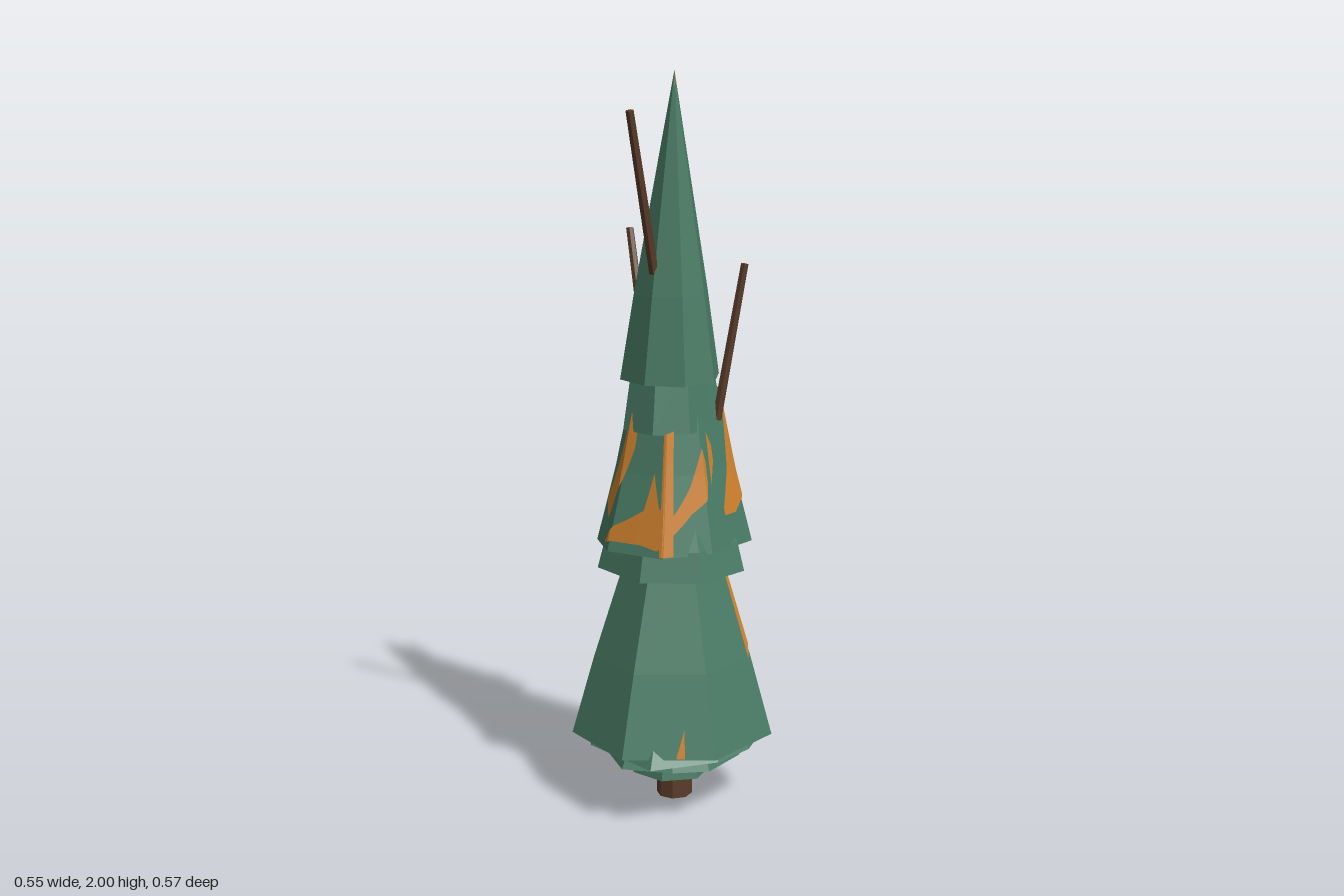
import * as THREE from 'three';

const RAD = Math.PI / 180;

// Outlines: corners as [angle in degrees, radius]; 0 is +x, 90 is the front
const OUT = {
  top: [[25, 0.125], [72, 0.143], [117, 0.142], [165, 0.147], [220, 0.157], [266, 0.135], [320, 0.145]],
  collar: [[15, 0.115], [60, 0.12], [105, 0.14], [150, 0.143], [200, 0.125], [250, 0.118], [305, 0.125]],
  middle: [[48, 0.175], [92, 0.2], [140, 0.215], [175, 0.212], [222, 0.19], [268, 0.185], [310, 0.19], [355, 0.212]],
  waist: [[12, 0.2], [62, 0.2], [110, 0.205], [165, 0.212], [210, 0.2], [258, 0.19], [310, 0.205]],
  skirt: [[7, 0.277], [60, 0.278], [112, 0.291], [163, 0.288], [212.5, 0.279], [262, 0.292], [298, 0.282]],
  hem: [[25, 0.24], [55, 0.25], [96, 0.287], [130, 0.235], [150, 0.25], [197, 0.267], [247, 0.293], [300, 0.25], [350, 0.248]],
  under: [[10, 0.19], [55, 0.2], [85, 0.19], [125, 0.215], [170, 0.195], [215, 0.2], [255, 0.215], [310, 0.2]],
  core: [[0, 0.1], [50, 0.115], [100, 0.12], [150, 0.125], [205, 0.125], [255, 0.12], [310, 0.115]],
};

// Profiles: [height, scale of the outline], from the rim upward
const PROF = {
  top: [[1.19, 1], [1.42, 0.74], [2, 0]],
  collar: [[1.06, 1], [1.25, 0.8]],
  middle: [[0.74, 1], [0.95, 0.75], [1.25, 0.46]],
  waist: [[0.67, 1], [0.75, 0.9], [0.95, 0.5]],
  skirt: [[0.2, 1], [0.42, 0.78], [0.76, 0.4]],
  hem: [[0.18, 1], [0.26, 0.8]],
  under: [[0.135, 1], [0.2, 0.85]],
  core: [[0.08, 1], [0.15, 0.9]],
};

function geometryFrom(points) {
  const geo = new THREE.BufferGeometry().setFromPoints(points);
  geo.computeVertexNormals();
  return geo;
}

// Faceted tier with a closed underside
function tierGeometry(key) {
  const outline = OUT[key], profile = PROF[key], n = outline.length, pts = [];
  const at = (i, [y, s]) => {
    const [deg, r] = outline[i % n];
    return new THREE.Vector3(r * s * Math.cos(deg * RAD), y, r * s * Math.sin(deg * RAD));
  };
  for (let i = 0; i < n; i++) {
    for (let k = 0; k < profile.length - 1; k++) {
      const lo = profile[k], hi = profile[k + 1];
      pts.push(at(i + 1, lo), at(i, lo), at(i, hi));
      if (hi[1] > 0) pts.push(at(i + 1, lo), at(i, hi), at(i + 1, hi));
    }
    pts.push(new THREE.Vector3(0, profile[0][0], 0), at(i, profile[0]), at(i + 1, profile[0]));
  }
  return geometryFrom(pts);
}

// Point just outside a tier's faceted surface
function onTier(key, deg, y, lift = 0.007) {
  const o = OUT[key], p = PROF[key], n = o.length;
  const a = ((deg % 360) + 360) % 360;
  let i = n - 1;
  for (let j = 0; j < n; j++) if (o[j][0] <= a) i = j;
  if (a < o[0][0]) i = n - 1;
  const [d0, r0] = o[i], [d1, r1] = o[(i + 1) % n];
  const span = (((d1 - d0) + 360) % 360) * RAD, t = (((a - d0) + 360) % 360) * RAD;
  const r = r0 * r1 * Math.sin(span) / (r0 * Math.sin(t) + r1 * Math.sin(span - t));
  let k = 0;
  while (k < p.length - 2 && y > p[k + 1][0]) k++;
  const s = THREE.MathUtils.mapLinear(y, p[k][0], p[k + 1][0], p[k][1], p[k + 1][1]);
  const R = r * s + lift;
  return new THREE.Vector3(R * Math.cos(a * RAD), y, R * Math.sin(a * RAD));
}

// Patch following a tier; sections are [angle, low height, high height]
function patchGeometry(key, sections) {
  const pts = [], steps = 6, rows = 4;
  const lerp = THREE.MathUtils.lerp;
  for (let s = 0; s < sections.length - 1; s++) {
    const A = sections[s], B = sections[s + 1];
    const at = (u, v) => onTier(key, lerp(A[0], B[0], u),
      lerp(lerp(A[1], B[1], u), lerp(A[2], B[2], u), v));
    for (let i = 0; i < steps; i++) for (let j = 0; j < rows; j++) {
      const u0 = i / steps, u1 = (i + 1) / steps, v0 = j / rows, v1 = (j + 1) / rows;
      pts.push(at(u1, v0), at(u0, v0), at(u0, v1), at(u1, v0), at(u0, v1), at(u1, v1));
    }
  }
  return geometryFrom(pts);
}

export function createModel() {
  const group = new THREE.Group();
  const mat = (name, color) => {
    const m = new THREE.MeshStandardMaterial({ color, flatShading: true });
    m.name = name;
    return m;
  };
  const green = mat('pine green', 0x4a7c66);
  const orange = mat('autumn orange', 0xcd802d);
  orange.side = THREE.DoubleSide;
  const brown = mat('bark brown', 0x5a3c2a);
  const add = (name, geo, material) => {
    const mesh = new THREE.Mesh(geo, material);
    mesh.name = name;
    group.add(mesh);
    return mesh;
  };

  // Foliage tiers
  for (const key of Object.keys(OUT)) add(key + 'Tier', tierGeometry(key), green);
  group.getObjectByName('collarTier').position.set(-0.005, 0, 0.005);

  // Trunk
  add('trunk', new THREE.CylinderGeometry(0.048, 0.05, 0.14, 8), brown).position.y = 0.07;

  // Bare branches
  const branches = [
    [[-0.045, 1.48, 0.07], [-0.093, 1.9, 0.172]],
    [[0.115, 1.08, 0], [0.187, 1.5, 0.003]],
    [[-0.075, 1.1, -0.105], [-0.152, 1.57, -0.228]],
  ];
  for (const [from, to] of branches) {
    const a = new THREE.Vector3(...from), b = new THREE.Vector3(...to);
    const dir = b.clone().sub(a);
    const mesh = add('branch', new THREE.CylinderGeometry(0.011, 0.014, dir.length(), 6), brown);
    mesh.position.copy(a).add(b).multiplyScalar(0.5);
    mesh.quaternion.setFromUnitVectors(new THREE.Vector3(0, 1, 0), dir.normalize());
  }

  // Orange patches
  const patches = [
    ['middle', [[146, 0.76, 0.765], [138, 0.77, 0.81], [112, 0.77, 0.86], [104, 0.765, 0.96], [97, 0.76, 0.87],
      [84, 0.8, 0.85], [66, 0.85, 0.92], [48, 0.88, 1.02], [44, 0.92, 0.98]]],
    ['middle', [[95, 0.745, 1.06], [84, 0.745, 1.07]]],
    ['middle', [[165, 0.86, 0.87], [150, 0.82, 1.0], [138, 0.93, 1.17], [130, 1.02, 1.16]]],
    ['middle', [[38, 0.92, 1.06], [30, 0.98, 1.02]]],
    ['middle', [[24, 0.83, 0.85], [8, 0.83, 0.95], [-6, 0.87, 1.17], [-14, 0.98, 1.16]]],
    ['middle', [[-30, 1.0, 1.12], [-42, 1.02, 1.1]]],
    ['middle', [[-62, 0.98, 1.16], [-70, 0.92, 1.17], [-82, 0.9, 0.98]]],
    ['middle', [[190, 0.9, 1.1], [180, 0.86, 1.04]]],
    ['middle', [[230, 0.86, 0.88], [223, 0.85, 0.93], [217, 0.87, 0.88]]],
    ['skirt', [[82, 0.205, 0.21], [77, 0.205, 0.28]]],
    ['skirt', [[12, 0.42, 0.68], [8, 0.46, 0.68]]],
    ['skirt', [[-87, 0.205, 0.21], [-74, 0.205, 0.36], [-71, 0.205, 0.27]]],
  ];
  for (const [key, sections] of patches) add('orangePatch', patchGeometry(key, sections), orange);

  // Tip of the crown
  add('crownTip', new THREE.ConeGeometry(0.007, 0.04, 5), orange).position.y = 1.98;

  return group;
}
